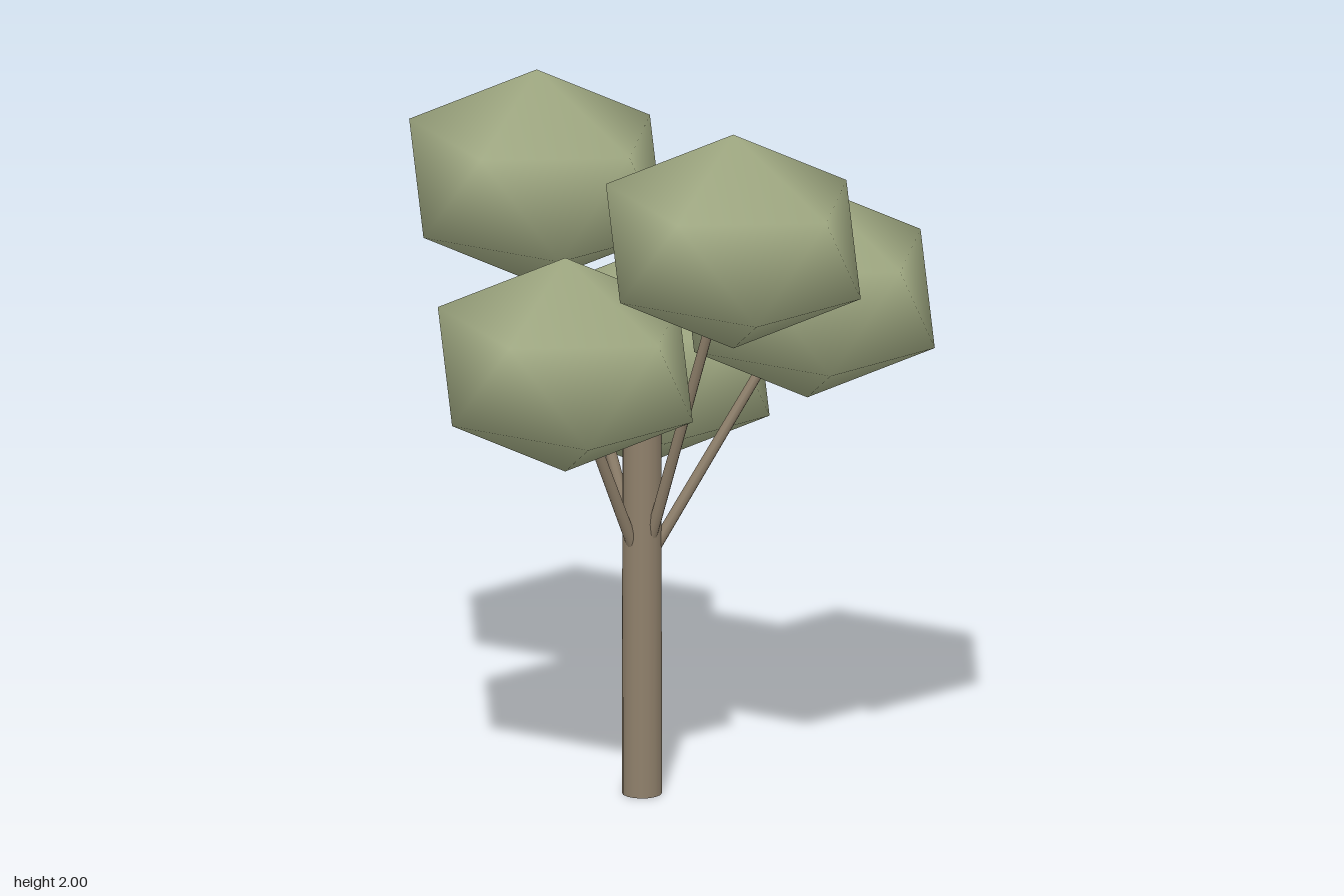
import * as THREE from 'three';

const bark = new THREE.MeshStandardMaterial({ color: 0x8f806b });
const leaf = new THREE.MeshStandardMaterial({ color: 0xa0a982 });

// Twelve-point foliage clump: a pole, two staggered rings of five, a pole
function clumpGeometry() {
  const points = [0, 1, 0];
  for (const [y, turn] of [[0.447, 0], [-0.447, 0.5]]) {
    for (let k = 0; k < 5; k++) {
      const a = (k + turn) * Math.PI * 0.4;
      points.push(0.894 * Math.cos(a), y, 0.894 * Math.sin(a));
    }
  }
  points.push(0, -1, 0);

  const faces = [];
  for (let k = 0; k < 5; k++) {
    const next = (k + 1) % 5;
    const u0 = 1 + k, u1 = 1 + next, l0 = 6 + k, l1 = 6 + next;
    faces.push(0, u1, u0, u0, u1, l0, l0, u1, l1, l0, l1, 11);
  }
  const geometry = new THREE.BufferGeometry();
  geometry.setAttribute('position', new THREE.Float32BufferAttribute(points, 3));
  geometry.setIndex(faces);
  geometry.computeVertexNormals();
  return geometry;
}

// Tapered round limb between two points
function limb(name, from, to, r0, r1, sides) {
  const dir = to.clone().sub(from);
  const mesh = new THREE.Mesh(new THREE.CylinderGeometry(r1, r0, dir.length(), sides), bark);
  mesh.name = name;
  mesh.position.copy(from).add(to).multiplyScalar(0.5);
  mesh.quaternion.setFromUnitVectors(new THREE.Vector3(0, 1, 0), dir.normalize());
  return mesh;
}

export function createModel() {
  const tree = new THREE.Group();
  tree.name = 'tree';

  // Trunk
  const base = new THREE.Vector3(-0.003, 0, 0.028);
  tree.add(limb('trunk', base, base.clone().setY(1.23), 0.055, 0.053, 16));

  // Each branch leaves the trunk at one fork and ends inside its clump
  const fork = base.clone().setY(0.64);
  const clumps = [
    ['upperRight', -0.366, 1.695, 0.085],
    ['upperLeft', 0.362, 1.66, 0.025],
    ['front', 0.02, 1.295, 0.335],
    ['lowerRight', -0.26, 1.137, -0.21],
    ['backLeft', 0.268, 1.423, -0.338],
  ];
  const geometry = clumpGeometry();
  for (const [name, x, y, z] of clumps) {
    const centre = new THREE.Vector3(x, y, z);
    tree.add(limb(name + 'Branch', fork, centre, 0.017, 0.013, 10));
    const foliage = new THREE.Mesh(geometry, leaf);
    foliage.name = name + 'Foliage';
    foliage.position.copy(centre);
    foliage.scale.set(0.42, 0.306, 0.37);
    tree.add(foliage);
  }
  return tree;
}
